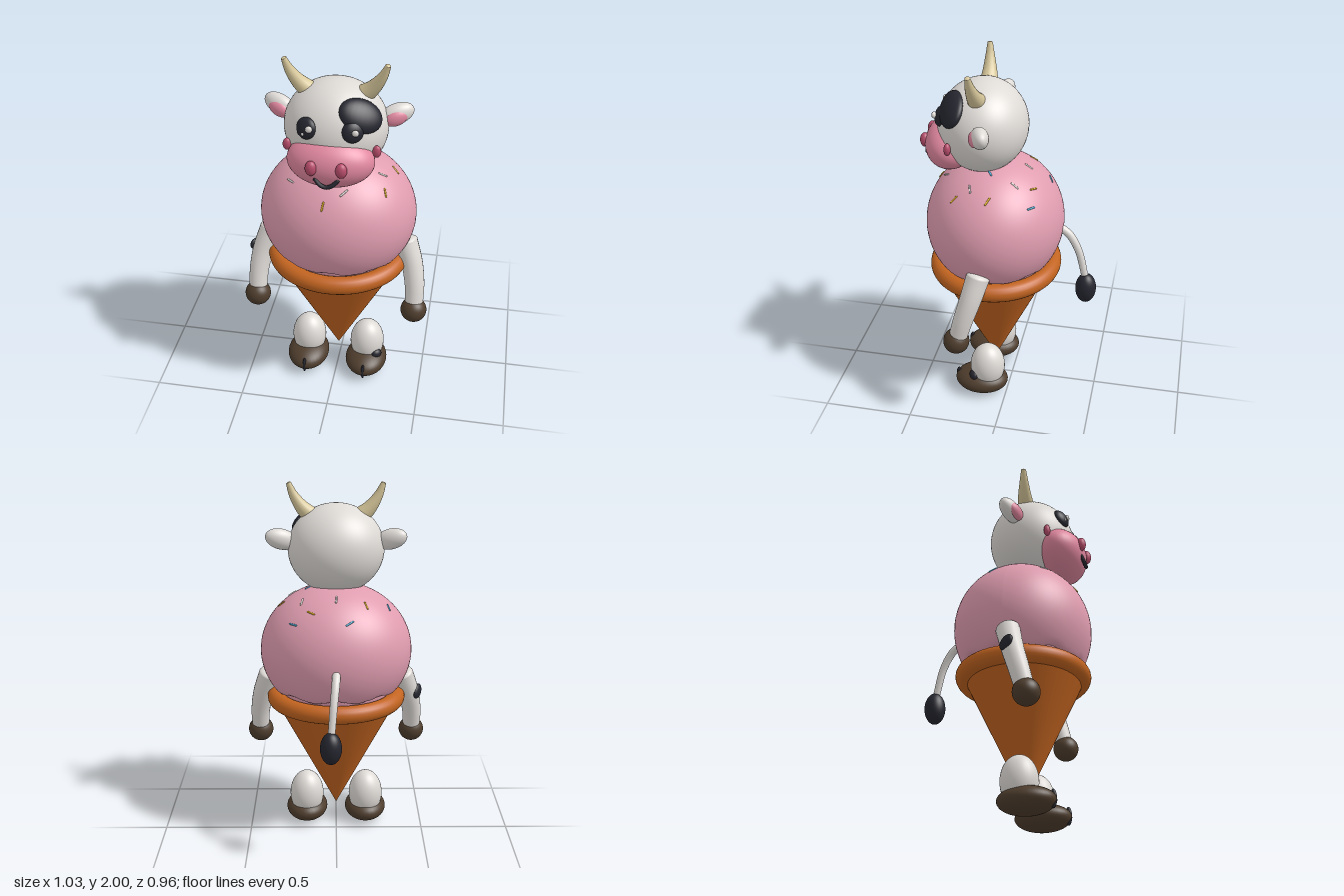
import * as THREE from 'three';

function material(name, color, side = THREE.FrontSide) {
  const m = new THREE.MeshStandardMaterial({ color, side });
  m.name = name;
  return m;
}

export function createModel() {
  const white = material('white', 0xdedad6);
  const pink = material('ice cream pink', 0xe09db0);
  const snoutPink = material('snout pink', 0xe0879f);
  const rose = material('rose', 0xb84d6c);
  const black = material('black', 0x25262f);
  const brown = material('hoof brown', 0x4e3d2d);
  const waffle = material('waffle orange', 0xc26420);
  const horn = material('horn cream', 0xd9c99c);
  const yellow = material('sprinkle yellow', 0xe2b524);
  const blue = material('sprinkle blue', 0x52b4dc);

  const model = new THREE.Group();
  model.name = 'iceCreamCow';
  const V = (x, y, z) => new THREE.Vector3(x, y, z);

  function add(name, geometry, mat, parent = model) {
    const mesh = new THREE.Mesh(geometry, mat);
    mesh.name = name;
    parent.add(mesh);
    return mesh;
  }

  function ball(name, mat, pos, radii, parent = model, detail = 32) {
    const mesh = add(name, new THREE.SphereGeometry(1, detail, detail * 0.75), mat, parent);
    mesh.position.set(...pos);
    mesh.scale.set(...radii);
    return mesh;
  }

  // Ball flattened along its z axis and turned to face a direction
  function spot(name, mat, pos, radii, normal, roll = 0) {
    const mesh = ball(name, mat, pos, radii, model, 24);
    mesh.quaternion.setFromUnitVectors(V(0, 0, 1), V(...normal).normalize());
    mesh.rotateZ(roll);
    return mesh;
  }

  // Tube along a curve, with its radius running from r0 to r1 and domed ends
  function taperedTube(name, mat, points, r0, r1, dome = 0.4) {
    const group = new THREE.Group();
    group.name = name;
    model.add(group);
    const curve = new THREE.CatmullRomCurve3(points.map(p => V(...p)));
    const segs = 20, sides = 20;
    const geo = new THREE.TubeGeometry(curve, segs, 1, sides);
    const p = geo.attributes.position, v = V(0, 0, 0);
    for (let i = 0; i < p.count; i++) {
      const t = Math.floor(i / (sides + 1)) / segs;
      const c = curve.getPointAt(t);
      v.fromBufferAttribute(p, i).sub(c).multiplyScalar(r0 + (r1 - r0) * t).add(c);
      p.setXYZ(i, v.x, v.y, v.z);
    }
    add(name + 'Shaft', geo, mat, group);
    for (const [t, r] of [[0, r0], [1, r1]]) {
      const end = ball(name + 'End', mat, curve.getPointAt(t).toArray(), [r, r, r * dome], group, 16);
      end.quaternion.setFromUnitVectors(V(0, 0, 1), curve.getTangentAt(t));
    }
    return group;
  }

  // Scoop body: ellipsoid with a wavy, flattened lower edge
  const C = V(0, 1.08, 0.092), R = V(0.422, 0.38, 0.378);
  const scoop = new THREE.SphereGeometry(1, 72, 54);
  scoop.scale(R.x, R.y, R.z);
  scoop.translate(C.x, C.y, C.z);
  const sp = scoop.attributes.position;
  for (let i = 0; i < sp.count; i++) {
    const a = Math.atan2(sp.getX(i), sp.getZ(i) - C.z);
    sp.setY(i, Math.max(sp.getY(i), 0.87 + 0.012 * Math.cos(a * 8)));
  }
  scoop.computeVertexNormals();
  add('scoopBody', scoop, pink);
  const collar = add('scoopCollar', new THREE.CylinderGeometry(0.32, 0.3, 0.1, 48), pink);
  collar.position.set(0, 0.84, C.z);
  collar.scale.z = 0.92;

  // Waffle cone and its rim
  const cone = add('cone', new THREE.ConeGeometry(0.355, 0.68, 64), waffle);
  cone.rotation.x = Math.PI;
  cone.position.set(0, 0.46, 0.098);
  cone.scale.z = 0.92;
  const rim = add('coneRim', new THREE.TorusGeometry(0.34, 0.05, 20, 72), waffle);
  rim.rotation.x = Math.PI / 2;
  rim.position.set(0, 0.805, C.z);
  rim.scale.y = 0.942;

  // Head and snout
  ball('head', white, [0, 1.64, 0.153], [0.266, 0.248, 0.239], model, 48);
  ball('snout', snoutPink, [0, 1.532, 0.32], [0.222, 0.137, 0.142], model, 40).rotation.x = -0.12;
  const smile = new THREE.CatmullRomCurve3([
    V(-0.055, 1.492, 0.447), V(-0.032, 1.468, 0.457), V(0, 1.457, 0.46),
    V(0.032, 1.468, 0.457), V(0.055, 1.492, 0.447)]);
  add('mouth', new THREE.TubeGeometry(smile, 24, 0.011, 10), black);
  for (const s of [-1, 1])
    ball('mouthCorner', black, [s * 0.055, 1.492, 0.447], [0.011, 0.011, 0.011], model, 12);

  // Eye patch
  spot('eyePatch', black, [0.142, 1.772, 0.285], [0.115, 0.085, 0.04], [0.45, 0.55, 0.62], -0.3);

  for (const s of [-1, 1]) {
    // Face details
    spot('eye', black, [s * 0.114, 1.717, 0.35], [0.055, 0.055, 0.03], [s * 0.4, 0.3, 0.85]);
    ball('eyeGlint', white, [s * 0.114 + 0.018, 1.728, 0.382], [0.018, 0.018, 0.012], model, 12);
    ball('smallEyeGlint', white, [s * 0.114 - 0.012, 1.698, 0.377], [0.009, 0.009, 0.008], model, 10);
    ball('nostril', rose, [s * 0.075, 1.555, 0.453], [0.029, 0.04, 0.026], model, 20);
    ball('cheek', rose, [s * 0.226, 1.585, 0.293], [0.022, 0.033, 0.018], model, 20);

    // Ears
    const ear = new THREE.Group();
    ear.name = 'ear';
    ear.position.set(s * 0.298, 1.7, 0.105);
    ear.rotation.set(0, s * 0.35, s * 0.3);
    model.add(ear);
    ball('outerEar', white, [0, 0, 0], [0.092, 0.056, 0.046], ear);
    ball('innerEar', snoutPink, [-s * 0.012, -0.006, 0.026], [0.062, 0.042, 0.03], ear);

    // Horns
    taperedTube('horn', horn, [
      [s * 0.125, 1.81, 0.15], [s * 0.185, 1.865, 0.157],
      [s * 0.23, 1.93, 0.165], [s * 0.256, 1.992, 0.17]], 0.052, 0.014);

    // Arms and hands
    taperedTube('arm', white, [
      [s * 0.375, 0.925, 0.11], [s * 0.418, 0.8, 0.145],
      [s * 0.44, 0.68, 0.182], [s * 0.444, 0.57, 0.212]], 0.064, 0.05);
    ball('handHoof', brown, [s * 0.444, 0.54, 0.222], [0.072, 0.071, 0.071]);

    // Legs and feet
    ball('leg', white, [s * 0.173, 0.175, 0.112], [0.098, 0.14, 0.1]);
    ball('footHoof', brown, [s * 0.173, 0.074, 0.148], [0.12, 0.073, 0.154]);
    ball('hoofSplit', black, [s * 0.173, 0.076, 0.285], [0.011, 0.05, 0.018], model, 16);
  }

  // Dark patches on the limbs
  spot('armPatch', black, [-0.466, 0.812, 0.125], [0.046, 0.036, 0.018], [-0.85, 0.1, -0.5], 0.5);
  spot('legPatch', black, [0.238, 0.137, 0.182], [0.032, 0.027, 0.022], [0.6, 0.3, 0.7]);

  // Tail
  taperedTube('tail', white, [
    [0, 1.06, -0.265], [0.004, 1.02, -0.32], [0.014, 0.93, -0.375], [0.028, 0.76, -0.422]], 0.023, 0.019);
  ball('tailTuft', black, [0.03, 0.698, -0.426], [0.058, 0.09, 0.058]);

  // Sprinkles: x, z on the scoop, turn and colour
  const sprinkles = [
    [-0.07, -0.2, 0.7, blue], [-0.16, -0.09, -1.1, yellow], [-0.285, 0, -1.1, blue],
    [0.135, -0.14, -0.7, yellow], [0.23, -0.145, -0.7, blue], [0.185, -0.05, 1.2, white],
    [0.27, 0.255, -1, yellow], [0.3, 0.07, -0.4, yellow], [0, -0.09, 1.5, white],
    [-0.22, 0.27, -0.7, white], [-0.03, 0.4, 1.4, yellow], [0.07, 0.345, 0.9, white],
    [0.245, 0.175, 0.2, white], [0.15, 0.09, 0.6, blue]];
  for (const [x, z, turn, mat] of sprinkles) {
    const nx = x / R.x, nz = (z - C.z) / R.z;
    const ny = Math.sqrt(1 - nx * nx - nz * nz);
    const mesh = add('sprinkle', new THREE.CapsuleGeometry(0.005, 0.042, 3, 8).rotateZ(Math.PI / 2), mat);
    mesh.position.set(x, C.y + ny * R.y, z);
    mesh.quaternion.setFromUnitVectors(V(0, 1, 0), V(nx / R.x, ny / R.y, nz / R.z).normalize());
    mesh.rotateY(turn);
  }

  return model;
}
